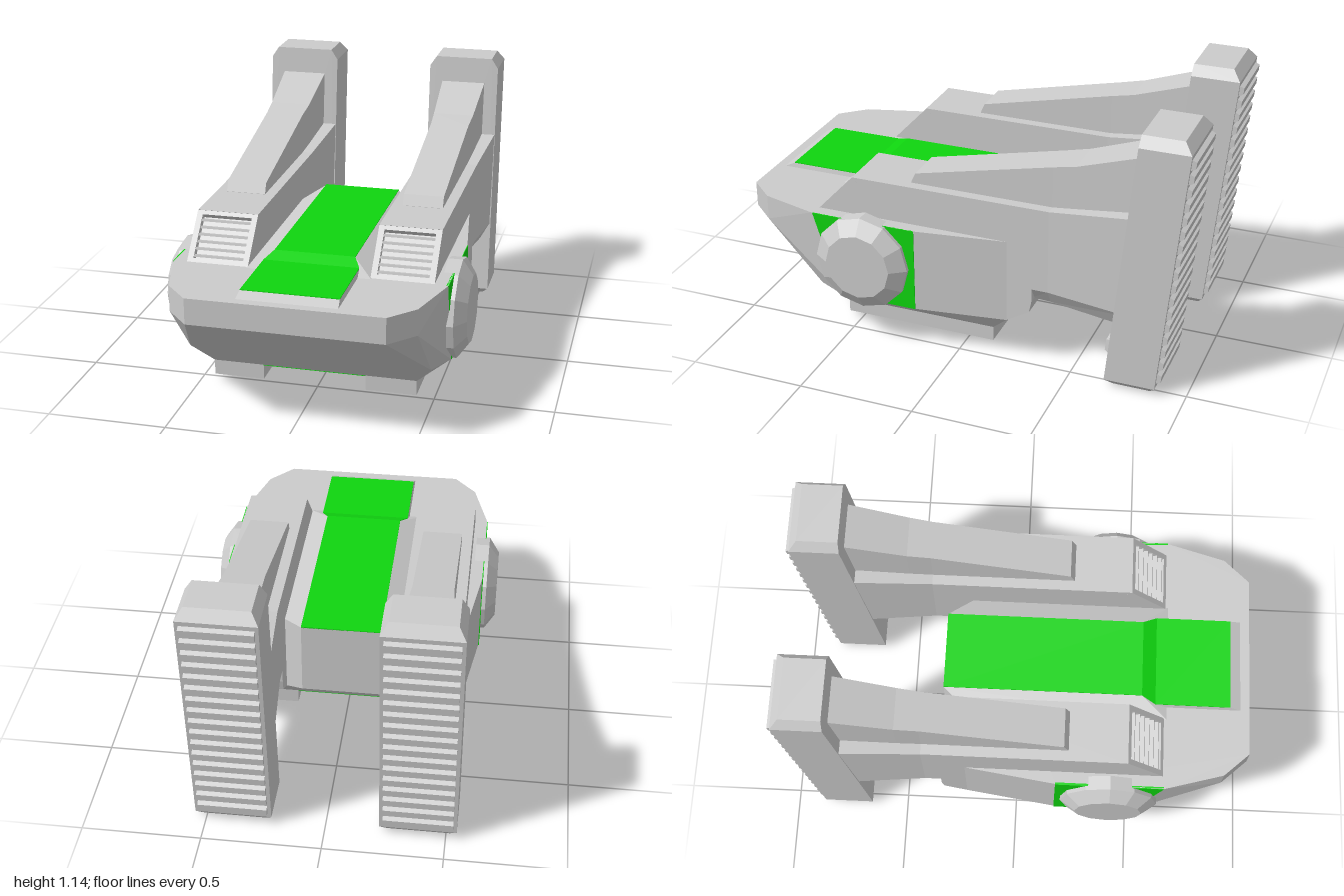
import * as THREE from 'three';
import { ConvexGeometry } from 'three/addons/geometries/ConvexGeometry.js';

const grey = new THREE.MeshStandardMaterial({ color: 0xcccccc, flatShading: true });
const green = new THREE.MeshStandardMaterial({ color: 0x0fd50f, flatShading: true });

function add(parent, name, geometry, material = grey) {
  const mesh = new THREE.Mesh(geometry, material);
  mesh.name = name;
  parent.add(mesh);
  return mesh;
}

// Convex solid from points given for +x and mirrored to -x
function solid(points) {
  return new ConvexGeometry(points.flatMap(([x, y, z]) =>
    [new THREE.Vector3(x, y, z), new THREE.Vector3(-x, y, z)]));
}

// Side profile of [z, y] points, extruded across x and centred
function profile(points, width) {
  const shape = new THREE.Shape(points.map(([z, y]) => new THREE.Vector2(z, y)));
  const geo = new THREE.ExtrudeGeometry(shape, { depth: width, bevelEnabled: false });
  return geo.rotateY(-Math.PI / 2).translate(width / 2, 0, 0);
}

// Skin over convex rings ordered front to back; each section is [z, ring of [x, y]]
function loft(sections) {
  const rings = sections.map(([z, ring]) => ring.map(([x, y]) => [x, y, z]));
  const pos = [];
  const tri = (a, b, c) => pos.push(...a, ...b, ...c);
  const n = rings[0].length;
  for (let i = 0; i < rings.length - 1; i++) {
    for (let j = 0; j < n; j++) {
      const k = (j + 1) % n, f = rings[i], r = rings[i + 1];
      tri(f[j], r[j], r[k]);
      tri(f[j], r[k], f[k]);
    }
  }
  const first = rings[0], last = rings[rings.length - 1];
  for (let j = 1; j < n - 1; j++) {
    tri(first[0], first[j], first[j + 1]);
    tri(last[0], last[j + 1], last[j]);
  }
  const geo = new THREE.BufferGeometry();
  geo.setAttribute('position', new THREE.Float32BufferAttribute(pos, 3));
  geo.computeVertexNormals();
  return geo;
}

const box = (h, low, high) => [[-h, low], [h, low], [h, high], [-h, high]];

function buildVent() {
  const vent = new THREE.Group();
  vent.name = 'vent';
  const rect = (P, w, h) => new P([[-w, -h], [w, -h], [w, h], [-w, h]].map(p => new THREE.Vector2(...p)));
  const frame = rect(THREE.Shape, 0.13, 0.1165);
  frame.holes.push(rect(THREE.Path, 0.106, 0.098));
  add(vent, 'ventFrame', new THREE.ExtrudeGeometry(frame, { depth: 0.03, bevelEnabled: false }));
  for (let i = 0; i < 6; i++) {
    const slat = add(vent, 'ventSlat', new THREE.BoxGeometry(0.212, 0.009, 0.028));
    slat.position.set(0, -0.08 + i * 0.032, 0.014);
    slat.rotation.x = 0.5;
  }
  // Lies on the sloping nose of the arm
  vent.rotation.x = -0.755;
  vent.position.set(0, 0.634, 0.528);
  return vent;
}

function buildTread() {
  // Ridged sole running up the back of the foot
  const count = 17, bottom = 0.05, pitch = 0.061;
  const at = (y, out) => [-0.872 - (y - 0.03) * 0.0939 - out, y];
  const pts = [];
  for (let i = 0; i < count; i++) {
    const y = bottom + i * pitch;
    pts.push(at(y, 0), at(y + 0.012, 0.022), at(y + 0.04, 0.022), at(y + 0.05, 0));
  }
  const end = bottom + count * pitch - 0.011;
  pts.push([at(end, 0)[0] + 0.03, end], [at(bottom, 0)[0] + 0.03, bottom]);
  return profile(pts, 0.29);
}

function buildArm() {
  const arm = new THREE.Group();
  arm.name = 'arm';
  add(arm, 'armFront', profile([
    [0.608, 0.549], [0.448, 0.719], [0.47, 0.74], [-0.33, 0.74],
    [-0.33, 0.31], [-0.32, 0.26], [-0.22, 0.2], [0.4, 0.25],
  ], 0.26));
  arm.add(buildVent());

  // Rear beam flares toward the foot and has a chamfered underside
  const beam = (h, low, mid, high) => [[-h + 0.04, low], [h - 0.04, low], [h, mid], [h, high], [-h, high], [-h, mid]];
  add(arm, 'armRear', loft([
    [-0.32, beam(0.13, 0.31, 0.37, 0.74)],
    [-0.4, beam(0.13, 0.305, 0.37, 0.74)],
    [-0.76, beam(0.16, 0.275, 0.35, 0.788)],
  ]));
  add(arm, 'armFin', loft([
    [0.22, box(0.085, 0.72, 0.741)],
    [0.2, box(0.085, 0.72, 0.785)],
    [-0.4, box(0.085, 0.72, 0.918)],
    [-0.5, box(0.09, 0.72, 0.94)],
    [-0.78, box(0.1, 0.72, 1.033)],
  ]));

  add(arm, 'foot', solid([
    [0.13, 0, -0.69], [0.13, 0, -0.85],
    [0.16, 0.03, -0.66], [0.16, 0.03, -0.875],
    [0.16, 1.095, -0.765], [0.16, 1.095, -0.975],
    [0.13, 1.14, -0.768], [0.13, 1.14, -0.94],
  ]));
  add(arm, 'tread', buildTread());
  add(arm, 'footTab', solid([
    [0.045, 0.06, -0.67], [0.045, 0.155, -0.68],
    [0.025, 0.085, -0.62], [0.025, 0.135, -0.625],
  ]));
  add(arm, 'skid', new THREE.BoxGeometry(0.215, 0.075, 0.68)).position.set(-0.0575, 0.0725, 0.21);
  return arm;
}

export function createModel() {
  const model = new THREE.Group();
  model.name = 'walkerBoot';

  // Hull with wedge nose and chamfered belly
  add(model, 'hull', solid([
    [0.4, 0.57, 1], [0.4, 0.46, 1], [0.5, 0.57, 0.89], [0.5, 0.46, 0.89],
    [0.57, 0.57, 0.64], [0.57, 0.57, 0.17], [0.515, 0.57, -0.22],
    [0.51, 0.2, 0.64], [0.57, 0.2, 0.52], [0.57, 0.2, 0.17], [0.515, 0.2, -0.22],
    [0.435, 0.1, 0.55], [0.435, 0.1, -0.13],
  ]));
  add(model, 'hullRear', solid([
    [0.26, 0.57, -0.2], [0.26, 0.57, -0.22], [0.17, 0.57, -0.33],
    [0.26, 0.19, -0.2], [0.26, 0.2, -0.22], [0.17, 0.28, -0.33],
  ]));

  // Raised deck with a green strip along it
  add(model, 'deckFront', solid([
    [0.205, 0.57, 0.96], [0.2, 0.59, 0.915], [0.2, 0.59, 0.55], [0.205, 0.57, 0.55],
  ]));
  add(model, 'deckRidge', solid([
    [0.26, 0.57, 0.64], [0.26, 0.57, -0.22], [0.17, 0.57, -0.33],
    [0.2, 0.59, 0.59], [0.17, 0.613, 0.53], [0.17, 0.613, -0.33],
  ]));
  add(model, 'deckStrip', loft([
    [0.915, box(0.2, 0.585, 0.593)],
    [0.59, box(0.2, 0.585, 0.593)],
    [0.53, box(0.17, 0.608, 0.616)],
    [-0.33, box(0.17, 0.608, 0.616)],
  ]), green);
  add(model, 'bellyPanel', new THREE.BoxGeometry(0.44, 0.01, 0.68), green).position.set(0, 0.102, 0.21);

  for (const s of [1, -1]) {
    const arm = buildArm();
    arm.position.x = s * 0.385;
    if (s < 0) arm.getObjectByName('skid').position.x *= -1;
    model.add(arm);

    add(model, 'sidePanel', profile([[0.635, 0.57], [0.17, 0.57], [0.17, 0.2], [0.52, 0.2]], 0.01), green)
      .position.x = s * 0.568;

    // Twelve-sided hub with a bevelled rim
    const hub = new THREE.Group();
    hub.name = 'hub';
    add(hub, 'hubRim', new THREE.CylinderGeometry(0.21, 0.21, 0.06, 12)).position.y = -0.03;
    add(hub, 'hubBevel', new THREE.CylinderGeometry(0.145, 0.21, 0.045, 12)).position.y = 0.0225;
    hub.rotation.z = -s * Math.PI / 2;
    hub.position.set(s * 0.59, 0.385, 0.405);
    model.add(hub);
  }
  return model;
}
